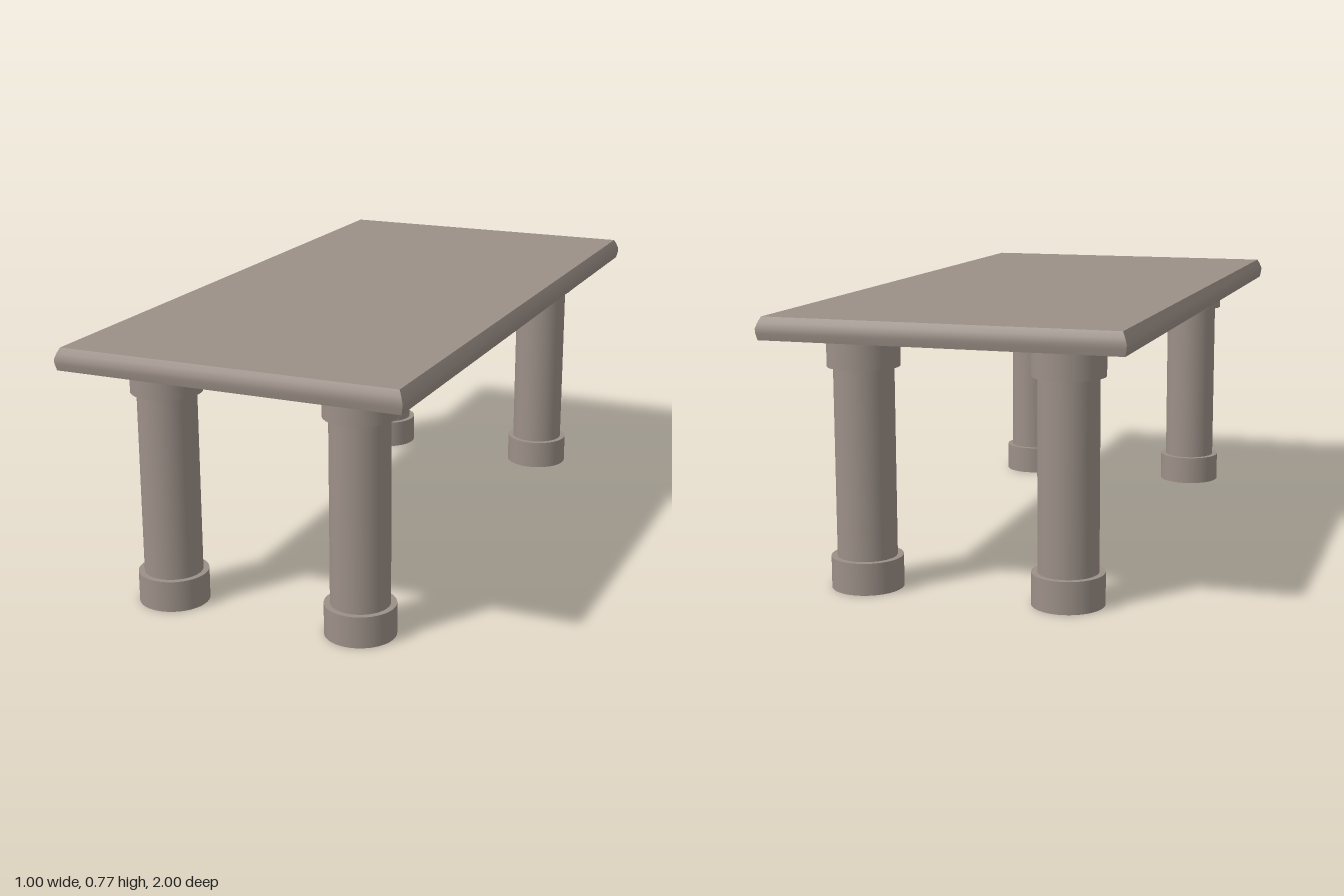
import * as THREE from 'three';
import { toCreasedNormals } from 'three/addons/utils/BufferGeometryUtils.js';

export function createModel() {
  const stone = new THREE.MeshStandardMaterial({ color: 0x9c9088 });
  stone.name = 'warm grey stone';
  const model = new THREE.Group();
  model.name = 'table';

  const add = (parent, name, geometry, y) => {
    const mesh = new THREE.Mesh(geometry, stone);
    mesh.name = name;
    mesh.position.y = y;
    parent.add(mesh);
  };

  // Table top: a slab whose edges bulge just below mid height
  const levels = [[0.71, 0.005], [0.728, 0.001], [0.74, 0], [0.756, 0.005], [0.772, 0.013]]; // height, inset
  const slab = new THREE.BoxGeometry(1, 1, 2, 1, levels.length - 1, 1);
  const p = slab.attributes.position;
  for (let i = 0; i < p.count; i++) {
    const [y, inset] = levels[Math.round((p.getY(i) + 0.5) * (levels.length - 1))];
    p.setXYZ(i, Math.sign(p.getX(i)) * (0.5 - inset), y, Math.sign(p.getZ(i)) * (1 - inset));
  }
  add(model, 'tableTop', toCreasedNormals(slab, 0.6), 0);

  // Four round columns, each with a wider foot and capital
  const collar = new THREE.CylinderGeometry(0.1, 0.1, 0.09, 48);
  const shaft = new THREE.CylinderGeometry(0.083, 0.083, 0.53, 48, 1, true);
  for (const [side, x] of [['Left', 0.29], ['Right', -0.29]]) {
    for (const [end, z] of [['front', 0.78], ['back', -0.78]]) {
      const leg = new THREE.Group();
      leg.name = `${end}${side}Leg`;
      leg.position.set(x, 0, z);
      add(leg, 'foot', collar, 0.045);
      add(leg, 'shaft', shaft, 0.355);
      add(leg, 'capital', collar, 0.665);
      model.add(leg);
    }
  }
  return model;
}
